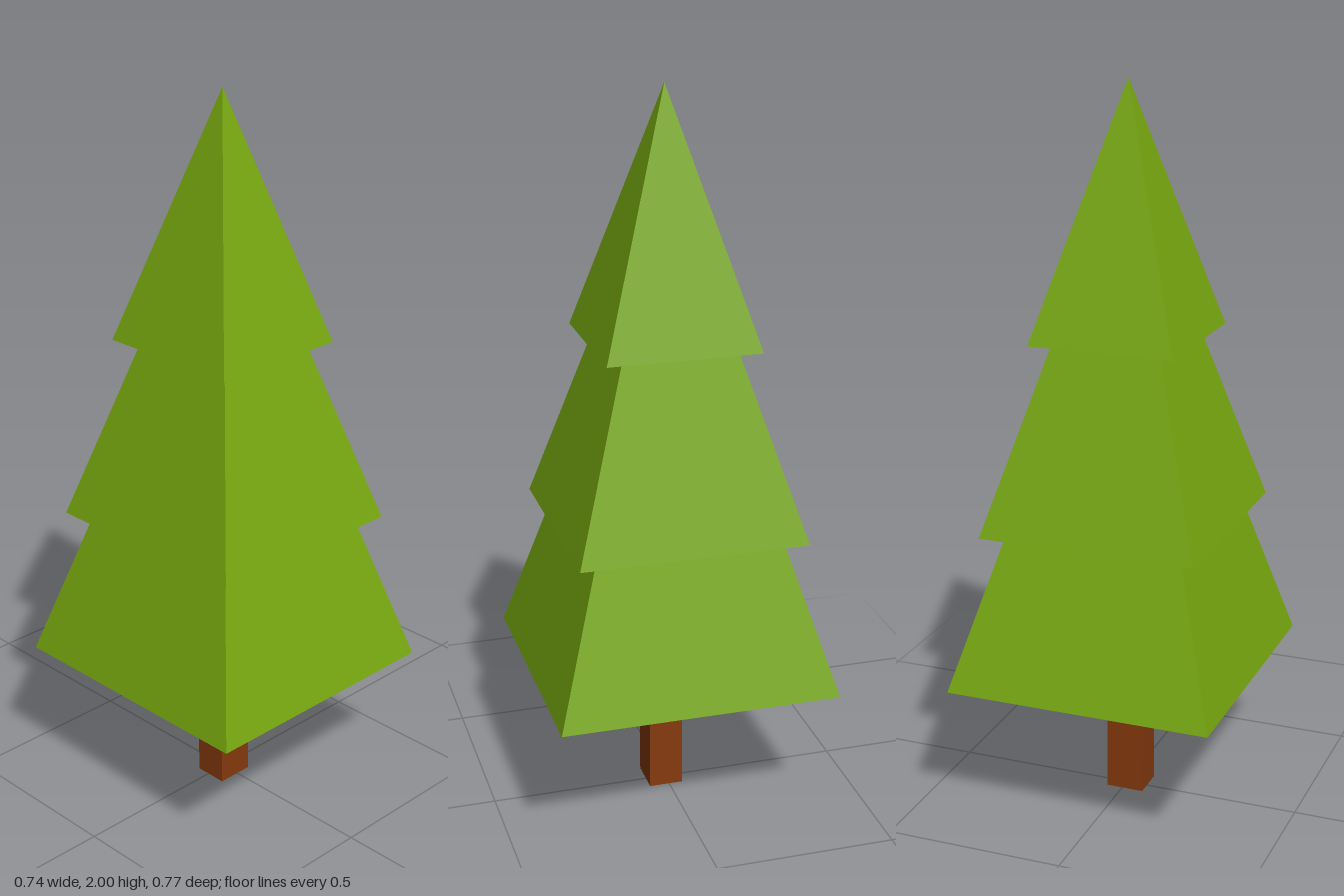
import * as THREE from 'three';

const foliageGreen = new THREE.MeshStandardMaterial({ color: 0x76a70f, flatShading: true, side: THREE.DoubleSide });
foliageGreen.name = 'foliageGreen';
const barkBrown = new THREE.MeshStandardMaterial({ color: 0x853a0e, flatShading: true });
barkBrown.name = 'barkBrown';

// Hollow four-sided pyramid, open underneath
function foliageTier({ name, base, apex, halfX, halfZ, x = 0 }) {
  const geometry = new THREE.ConeGeometry(Math.SQRT2, apex - base, 4, 1, true);
  geometry.rotateY(Math.PI / 4);
  geometry.scale(halfX, 1, halfZ);
  const mesh = new THREE.Mesh(geometry, foliageGreen);
  mesh.name = name;
  mesh.position.set(x, (base + apex) / 2, 0);
  return mesh;
}

export function createModel() {
  const tree = new THREE.Group();
  tree.name = 'pineTree';

  // Square trunk, slightly off centre, running up inside the foliage
  const trunk = new THREE.Mesh(new THREE.BoxGeometry(0.106, 0.8, 0.095), barkBrown);
  trunk.name = 'trunk';
  trunk.position.set(-0.008, 0.4, 0.009);
  tree.add(trunk);

  // Three overlapping tiers
  const tiers = [
    { name: 'lowerFoliage', base: 0.388, apex: 1.66, halfX: 0.37, halfZ: 0.386 },
    { name: 'middleFoliage', base: 0.815, apex: 1.83, halfX: 0.3, halfZ: 0.313 },
    { name: 'upperFoliage', base: 1.325, apex: 2, halfX: 0.201, halfZ: 0.21, x: -0.004 },
  ];
  for (const tier of tiers) tree.add(foliageTier(tier));

  return tree;
}
